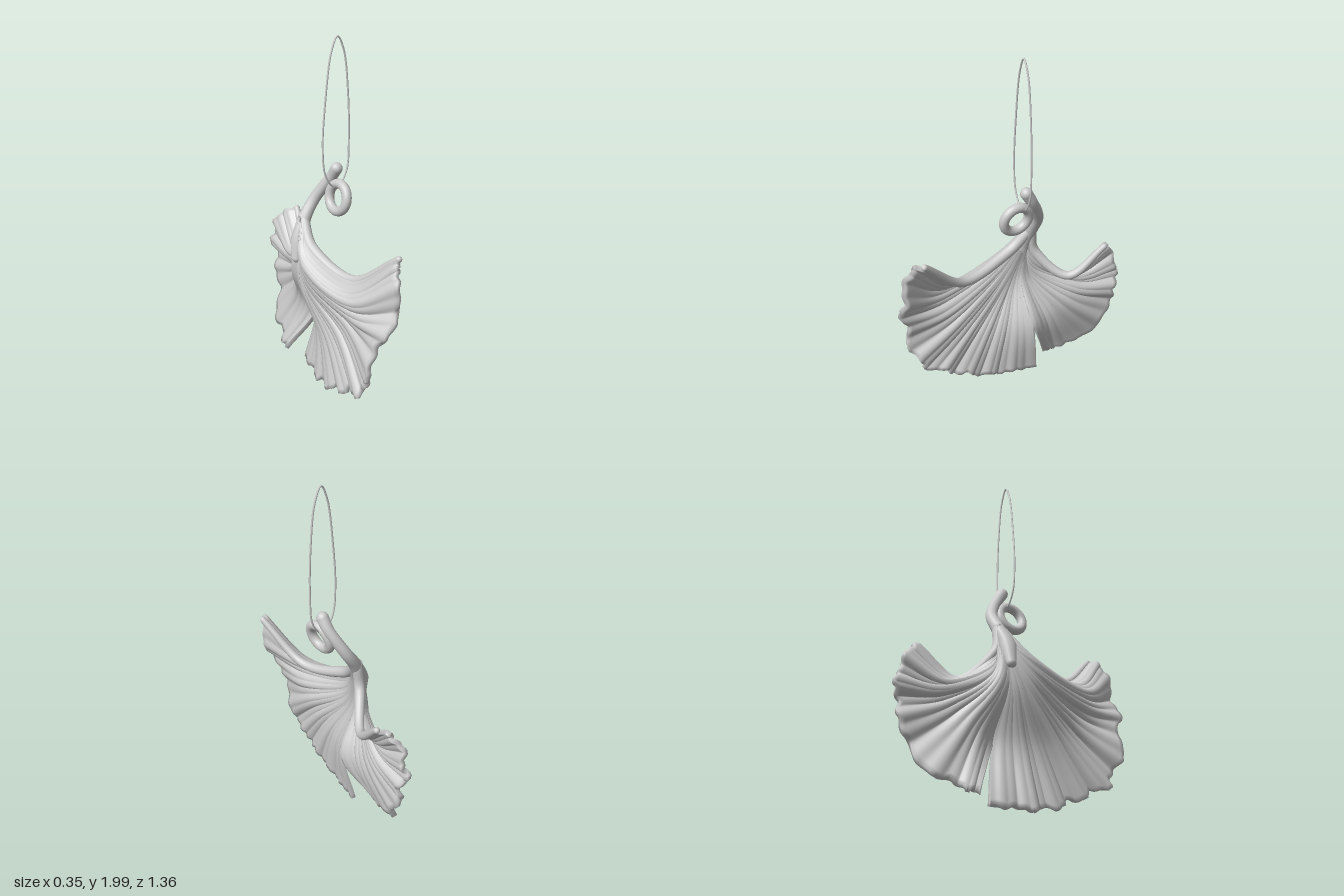
import * as THREE from 'three';
import { mergeVertices } from 'three/addons/utils/BufferGeometryUtils.js';

const V = (x, y, z) => new THREE.Vector3(x, y, z);
const ROWS = 36, SPLIT = 24; // the notch opens at row SPLIT
const BASE = [-0.05, 0.98, -0.145];

// Veins: three points [x, y, z] each, after the shared base point
const MAIN_VEINS = [
  [[-0.08, 0.84, 0.0], [-0.03, 0.77, 0.3], [0.05, 0.98, 0.56]],
  [[-0.15, 0.79, 0.02], [-0.11, 0.73, 0.37], [0.0, 0.95, 0.63]],
  [[-0.15, 0.75, 0.03], [-0.12, 0.65, 0.4], [-0.03, 0.72, 0.68]],
  [[-0.14, 0.71, 0.02], [-0.10, 0.56, 0.36], [-0.14, 0.5, 0.63]],
  [[-0.13, 0.68, 0.0], [-0.09, 0.46, 0.3], [-0.14, 0.23, 0.56]],
  [[-0.12, 0.66, -0.03], [-0.10, 0.38, 0.2], [-0.12, 0.12, 0.38]],
  [[-0.12, 0.65, -0.06], [-0.08, 0.34, 0.08], [-0.10, 0.03, 0.18]],
  [[-0.11, 0.65, -0.09], [-0.04, 0.34, -0.02], [-0.07, 0.01, 0.0]],
  [[-0.10, 0.66, -0.11], [0.03, 0.37, -0.12], [-0.02, 0.03, -0.17]],
];
const SIDE_VEINS = [
  [[-0.10, 0.66, -0.11], [0.03, 0.37, -0.12], [-0.10, 0.06, -0.27]],
  [[-0.10, 0.66, -0.14], [0.0, 0.38, -0.24], [-0.06, 0.08, -0.38]],
  [[-0.10, 0.68, -0.16], [0.02, 0.45, -0.32], [0.03, 0.19, -0.57]],
  [[-0.08, 0.70, -0.17], [0.05, 0.53, -0.38], [0.09, 0.42, -0.645]],
  [[-0.07, 0.73, -0.17], [0.03, 0.6, -0.42], [0.08, 0.62, -0.68]],
  [[-0.06, 0.77, -0.165], [0.03, 0.65, -0.38], [0.09, 0.81, -0.6]],
  [[-0.05, 0.82, -0.17], [0.08, 0.68, -0.32], [0.15, 0.85, -0.51]],
];

const veinCurve = (pts) => new THREE.CatmullRomCurve3(
  [BASE, ...pts].map((p) => V(...p)), false, 'catmullrom');

// Columns of points for one lobe, with ripples that grow toward the edge
function lobeColumns(veins, count, waves) {
  const lines = [0, 1, 2].map((k) => new THREE.CatmullRomCurve3(
    veins.map((v) => V(...v[k])), false, 'catmullrom'));
  const cols = [];
  for (let i = 0; i <= count; i++) {
    const u = i / count, fade = Math.sqrt(Math.max(0, Math.sin(Math.PI * u)));
    const curve = veinCurve(lines.map((l) => l.getPoint(u).toArray()));
    const a = u * Math.PI * 2 * waves + 1.2 * Math.sin(u * 9);
    const reach = 1 - fade * (0.02 + 0.018 * Math.sin(a) + 0.008 * Math.sin(2.3 * a));
    const col = [];
    for (let j = 0; j <= ROWS; j++) {
      const t = j / ROWS, p = curve.getPoint(t * reach);
      p.x += fade * (0.016 * t * t * Math.sin(a) + 0.006 * t * Math.sin(2.7 * a + 1));
      col.push(p);
    }
    cols.push(col);
  }
  return cols;
}

// Surface normals of a lobe by finite differences
function lobeNormals(cols) {
  const n = cols.length - 1;
  return cols.map((col, i) => col.map((p, jj) => {
    const j = Math.max(jj, 1);
    const du = cols[Math.min(i + 1, n)][j].clone().sub(cols[Math.max(i - 1, 0)][j]);
    const dt = col[Math.min(j + 1, ROWS)].clone().sub(col[j - 1]);
    return dt.cross(du).normalize();
  }));
}

// Both lobes as one closed, thick sheet, joined above the notch
function leafGeometry() {
  const lobes = [lobeColumns(MAIN_VEINS, 160, 9), lobeColumns(SIDE_VEINS, 110, 6)];
  const [main, side] = lobes, last = main.length - 1;
  for (let j = 0; j <= SPLIT; j++) side[0][j].copy(main[last][j]);
  const normals = lobes.map(lobeNormals);
  for (let j = 0; j <= SPLIT; j++) {
    const n = normals[0][last][j].add(normals[1][0][j]).normalize();
    normals[1][0][j].copy(n);
  }

  const pos = [], index = [];
  const quad = (a, b, c, d) => index.push(a, b, c, a, c, d);
  lobes.forEach((cols, k) => {
    const start = pos.length / 3, n = cols.length - 1;
    cols.forEach((col, i) => col.forEach((p, j) => {
      const t = j / ROWS, h = 0.013 + 0.017 * (1 - t) * (1 - t);
      const nrm = normals[k][i][j];
      pos.push(...p.clone().addScaledVector(nrm, h).toArray());
      pos.push(...p.clone().addScaledVector(nrm, -h).toArray());
    }));
    const f = (i, j) => start + 2 * (i * (ROWS + 1) + j), b = (i, j) => f(i, j) + 1;
    for (let i = 0; i < n; i++) {
      for (let j = 0; j < ROWS; j++) {
        quad(f(i, j), f(i, j + 1), f(i + 1, j + 1), f(i + 1, j));
        quad(b(i, j), b(i + 1, j), b(i + 1, j + 1), b(i, j + 1));
      }
      quad(f(i, ROWS), b(i, ROWS), b(i + 1, ROWS), f(i + 1, ROWS));
    }
    // Side walls: outer rims, and the notch below the split
    for (let j = 0; j < ROWS; j++) {
      if (k === 0 || j >= SPLIT) quad(f(0, j), b(0, j), b(0, j + 1), f(0, j + 1));
      if (k === 1 || j >= SPLIT) quad(f(n, j), f(n, j + 1), b(n, j + 1), b(n, j));
    }
  });
  let g = new THREE.BufferGeometry();
  g.setAttribute('position', new THREE.Float32BufferAttribute(pos, 3));
  g.setIndex(index);
  g = mergeVertices(g, 1e-5);
  g.computeVertexNormals();
  return g;
}

// Tube whose radius follows a list of values, with round ends
function taperedTube(name, curve, radii, material) {
  const group = new THREE.Group(), seg = 48, sides = 16;
  group.name = name;
  const radius = (t) => {
    const s = t * (radii.length - 1), i = Math.min(Math.floor(s), radii.length - 2);
    return THREE.MathUtils.lerp(radii[i], radii[i + 1], s - i);
  };
  const g = new THREE.TubeGeometry(curve, seg, 1, sides);
  const pos = g.attributes.position, v = V(0, 0, 0);
  for (let i = 0; i < pos.count; i++) {
    const t = Math.floor(i / (sides + 1)) / seg, c = curve.getPointAt(t);
    v.fromBufferAttribute(pos, i).sub(c).multiplyScalar(radius(t)).add(c);
    pos.setXYZ(i, v.x, v.y, v.z);
  }
  group.add(new THREE.Mesh(g, material));
  for (const t of [0, 1]) {
    const cap = new THREE.Mesh(new THREE.SphereGeometry(radius(t), 16, 12), material);
    cap.position.copy(curve.getPointAt(t));
    group.add(cap);
  }
  return group;
}

export function createModel() {
  const model = new THREE.Group();
  model.name = 'leafEarring';
  const mat = new THREE.MeshStandardMaterial({ color: 0xcccccc, side: THREE.DoubleSide });
  const add = (name, geometry) => {
    const mesh = new THREE.Mesh(geometry, mat);
    mesh.name = name;
    model.add(mesh);
    return mesh;
  };

  add('leafBlade', leafGeometry());

  // Rolled upper rims
  model.add(taperedTube('longRim', veinCurve(MAIN_VEINS[0]), [0.03, 0.032, 0.028, 0.024, 0.018], mat));
  model.add(taperedTube('shortRim', veinCurve(SIDE_VEINS.at(-1)), [0.03, 0.03, 0.026, 0.024, 0.018], mat));

  // Stem curving up to a blunt end
  const stem = new THREE.CatmullRomCurve3([
    V(-0.12, 0.76, -0.11), V(-0.09, 0.88, -0.12), V(-0.04, 0.98, -0.14), V(0.02, 1.07, -0.14),
    V(0.06, 1.15, -0.105), V(0.085, 1.22, -0.06), V(0.09, 1.275, -0.025)]);
  model.add(taperedTube('stem', stem, [0.03, 0.05, 0.038, 0.034, 0.032, 0.03, 0.034], mat));

  // Curled tendril ring beside the stem
  const ring = add('stemRing', new THREE.TorusGeometry(0.076, 0.027, 16, 48));
  ring.position.set(0.067, 1.125, 0.022);
  ring.rotation.set(0, Math.PI / 2, -0.22, 'ZYX');

  // Thin hanging loop
  const loop = new THREE.CatmullRomCurve3([
    [0.08, 1.995], [0.12, 1.92], [0.15, 1.7], [0.16, 1.42], [0.148, 1.26], [0.1, 1.185],
    [0.055, 1.185], [0.005, 1.26], [-0.012, 1.42], [0.005, 1.67], [0.042, 1.92],
  ].map(([x, y]) => V(x, y, -0.01)), true);
  add('hangingLoop', new THREE.TubeGeometry(loop, 120, 0.005, 8, true));

  return model;
}
